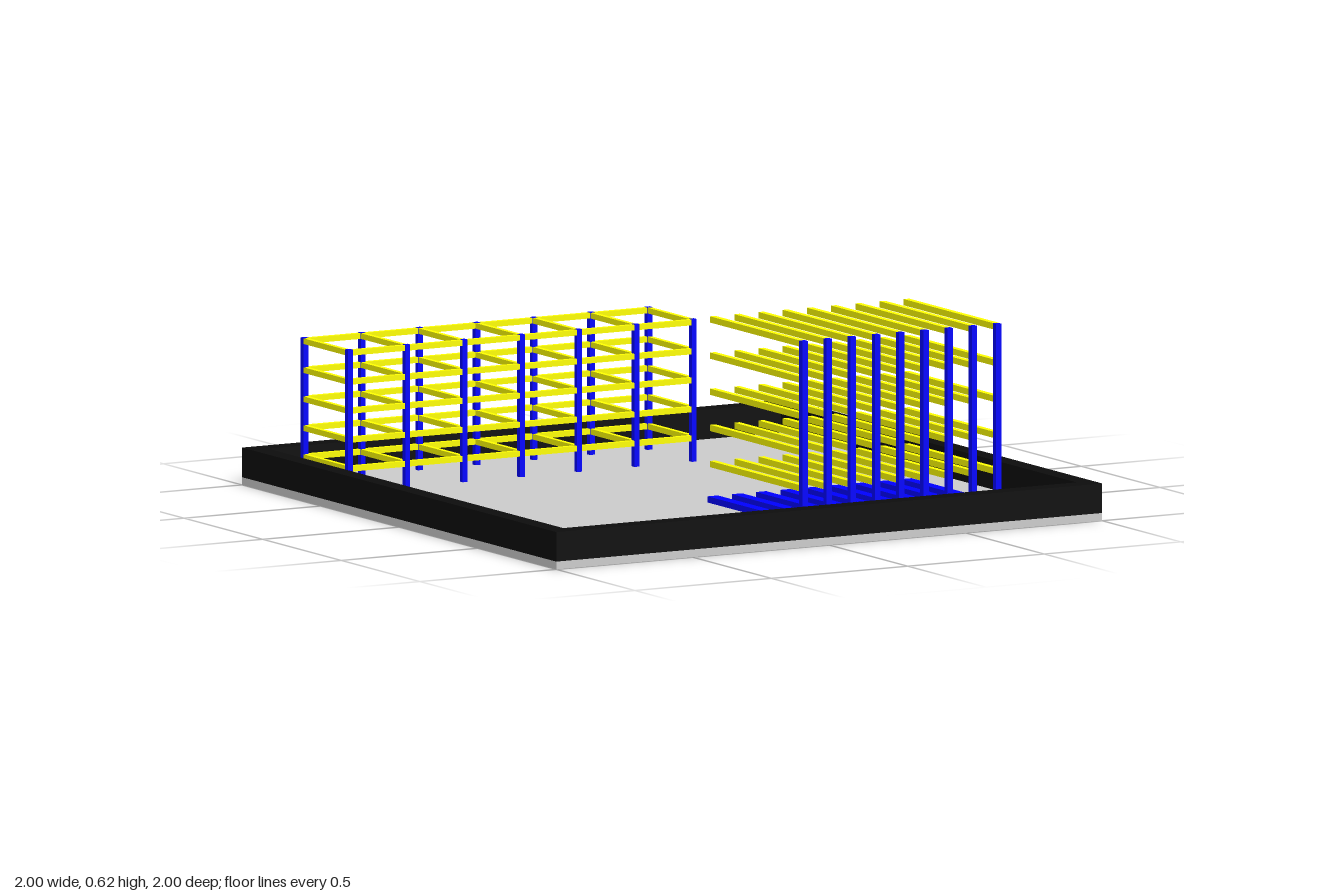
import * as THREE from 'three';

const grey = new THREE.MeshStandardMaterial({ color: 0xcccccc });
const black = new THREE.MeshStandardMaterial({ color: 0x0c0c0c });
const blue = new THREE.MeshStandardMaterial({ color: 0x0000ff });
const yellow = new THREE.MeshStandardMaterial({ color: 0xffff00 });

const FLOOR = 0.025;

// Box given by its size and centre
function bar(parent, name, mat, size, pos) {
  const mesh = new THREE.Mesh(new THREE.BoxGeometry(...size), mat);
  mesh.name = name;
  mesh.position.set(...pos);
  parent.add(mesh);
}

function group(parent, name) {
  const g = new THREE.Group();
  g.name = name;
  parent.add(g);
  return g;
}

// Slab with a low wall around its edge
function buildBase(model) {
  const base = group(model, 'base');
  bar(base, 'floor', grey, [2, FLOOR, 2], [0, FLOOR / 2, 0]);
  const h = 0.12 - FLOOR, t = 0.06, y = FLOOR + h / 2;
  for (const s of [-1, 1]) {
    bar(base, 'sideWall', black, [t, h, 2], [s * (1 - t / 2), y, 0]);
    bar(base, 'endWall', black, [2 - 2 * t, h, t], [0, y, s * (1 - t / 2)]);
  }
}

// Long pallet rack: two rows of posts joined by beams
function buildPalletRack(model) {
  const rack = group(model, 'palletRack');
  const x0 = -0.857, pitch = 0.21, bays = 6, zs = [-0.85, -0.567];
  const top = 0.483, w = 0.018, b = 0.018;
  const length = pitch * bays, depth = zs[1] - zs[0];
  for (let i = 0; i <= bays; i++) {
    for (const z of zs) {
      bar(rack, 'rackPost', blue, [w, top - FLOOR, w], [x0 + i * pitch, (top + FLOOR) / 2, z]);
    }
  }
  for (let level = 0; level < 5; level++) {
    const y = 0.1 + level * 0.0932;
    for (const z of zs) {
      bar(rack, 'longBeam', yellow, [length, b, b * 0.9], [x0 + length / 2, y, z]);
    }
    for (let i = 0; i <= bays; i++) {
      bar(rack, 'crossBeam', yellow, [b * 0.9, b, depth], [x0 + i * pitch, y, (zs[0] + zs[1]) / 2]);
    }
  }
}

// Cantilever rack: posts on floor rails with arms reaching back
function buildCantileverRack(model) {
  const rack = group(model, 'cantileverRack');
  const back = 0.19, front = 0.777, top = 0.622, w = 0.02;
  for (let i = 0; i < 9; i++) {
    const x = 0.04 + i * 0.0887;
    bar(rack, 'footRail', blue, [0.037, 0.02, front - back], [x, FLOOR + 0.01, (front + back) / 2]);
    bar(rack, 'armPost', blue, [w, top - FLOOR, w], [x, (top + FLOOR) / 2, front - w / 2]);
    for (let level = 0; level < 5; level++) {
      const y = 0.148 + level * 0.1162;
      bar(rack, 'arm', yellow, [w, w, front - w - back], [x, y, (front - w + back) / 2]);
    }
  }
}

export function createModel() {
  const model = new THREE.Group();
  model.name = 'storageYard';
  buildBase(model);
  buildPalletRack(model);
  buildCantileverRack(model);
  return model;
}
